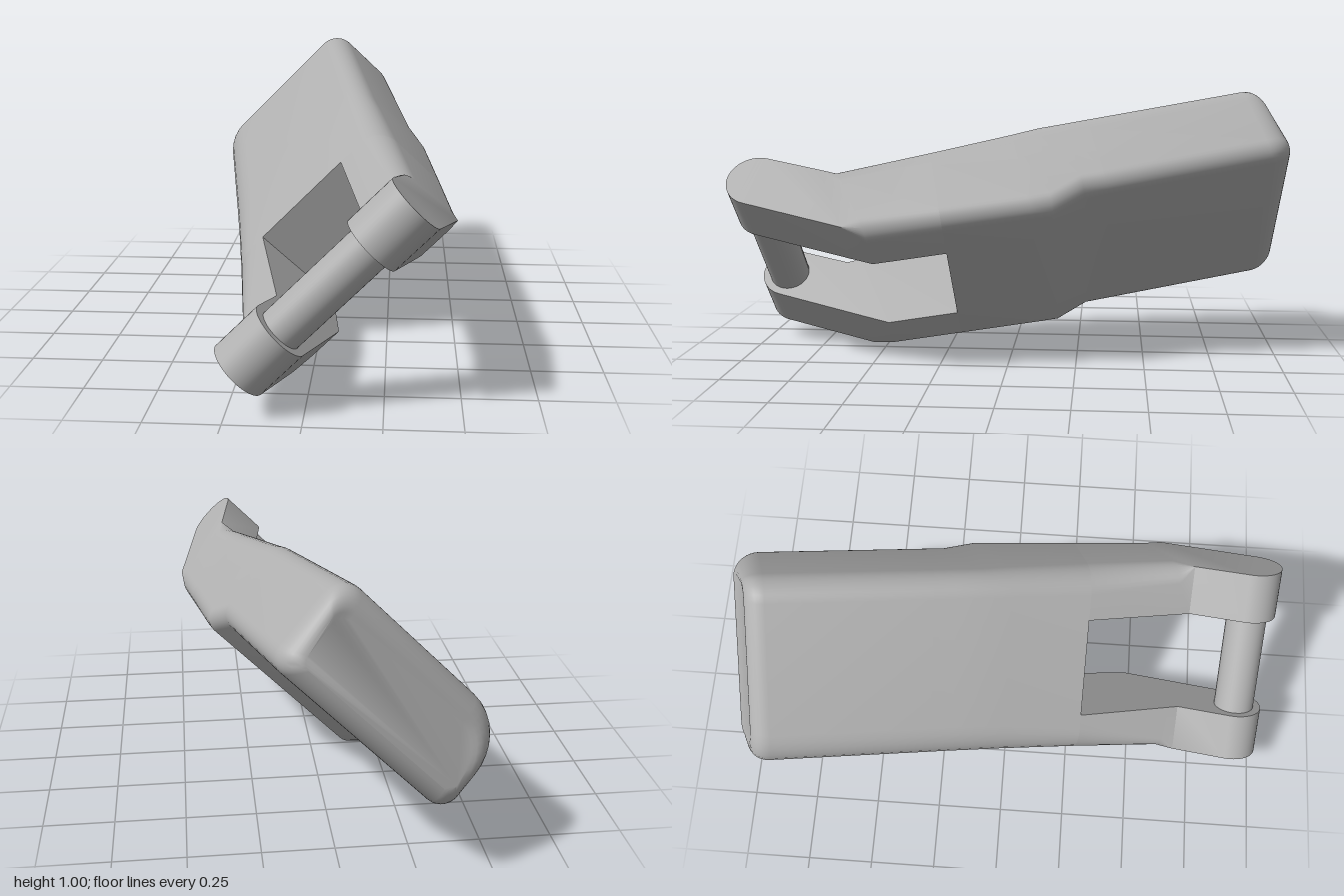
import * as THREE from 'three';
import { toCreasedNormals } from 'three/addons/utils/BufferGeometryUtils.js';

// Local frame: x runs along the pin, y is the thickness, z the length.
const LEFT = -0.048, RIGHT = 0.728, ARM = 0.19, STEPS = 8;

// Station: bottom point [z, y], top point [z, y], corner radii
const station = (bottom, top, low = 0, topLeft = 0, topRight = 0, inset = 0) =>
  ({ bottom, top, low, topLeft, topRight, inset });

// Rounded rectangle ring, counter-clockwise, on the tilted plane of a station
function ring(s, x0, x1, squareLeft, squareRight) {
  const [zb, yb] = s.bottom, [zt, yt] = s.top;
  x0 += s.inset;
  x1 -= s.inset;
  const corners = [
    [x0, yb, 1, 1, squareLeft ? 0 : s.low],
    [x1, yb, -1, 1, squareRight ? 0 : s.low],
    [x1, yt, -1, -1, squareRight ? 0 : s.topRight],
    [x0, yt, 1, -1, squareLeft ? 0 : s.topLeft],
  ];
  const points = [];
  corners.forEach(([x, y, sx, sy, r], c) => {
    for (let i = 0; i <= STEPS; i++) {
      const a = Math.PI + (c + i / STEPS) * Math.PI / 2;
      const px = x + r * (sx + Math.cos(a)), py = y + r * (sy + Math.sin(a));
      const f = yt - yb > 1e-6 ? (py - yb) / (yt - yb) : 0;
      points.push([px, py, zb + (zt - zb) * f]);
    }
  });
  return points;
}

// Skin over rings ordered from front to back
function loft(rings, frontCap, backCap) {
  const pos = [];
  const tri = (a, b, c) => pos.push(...a, ...b, ...c);
  const n = rings[0].length;
  for (let k = 0; k < rings.length - 1; k++) {
    const a = rings[k], b = rings[k + 1];
    for (let i = 0; i < n; i++) {
      const j = (i + 1) % n;
      tri(a[i], b[i], a[j]);
      tri(a[j], b[i], b[j]);
    }
  }
  const cap = (r, flip) => {
    for (let i = 1; i < n - 1; i++) flip ? tri(r[0], r[i + 1], r[i]) : tri(r[0], r[i], r[i + 1]);
  };
  if (frontCap) cap(rings[0], false);
  if (backCap) cap(rings[rings.length - 1], true);
  const g = new THREE.BufferGeometry();
  g.setAttribute('position', new THREE.Float32BufferAttribute(pos, 3));
  return toCreasedNormals(g, 0.55);
}

export function createModel() {
  const grey = new THREE.MeshStandardMaterial({ color: 0xb0b0b0 });
  const tilted = new THREE.Group();
  tilted.name = 'tiltedLever';
  tilted.rotation.z = Math.PI / 4;
  const add = (geometry, name) => {
    const mesh = new THREE.Mesh(geometry, grey);
    mesh.name = name;
    tilted.add(mesh);
    return mesh;
  };

  // Body, from the slot wall to the rounded back end
  const slotWall = station([0.21, 0.071], [0.29, 0.425], 0.06, 0.13, 0.09);
  const body = [
    slotWall,
    station([-0.1, 0.13], [0, 0.512], 0.06, 0.165, 0.085),
    station([-0.17, 0.145], [-0.1, 0.542], 0.06, 0.175, 0.08),
    station([-0.28, 0.225], [-0.19, 0.564], 0.06, 0.175, 0.08),
    station([-0.36, 0.245], [-0.27, 0.584], 0.06, 0.175, 0.08),
  ];
  for (let i = 0; i <= 8; i++) {
    const t = i / 8 * Math.PI / 2, s = Math.sin(t), c = 1 - Math.cos(t);
    body.push(station(
      [-0.94 - 0.075 * s, 0.39 + 0.02 * s + 0.06 * c],
      [-0.84 - 0.09 * s, 0.724 + 0.022 * s - 0.1 * c],
      0.06 - 0.03 * c, 0.175 - 0.06 * c, 0.08 - 0.04 * c, 0.06 * c));
  }
  add(loft(body.map(s => ring(s, LEFT, RIGHT)), true, true), 'body');

  // Two arms with half-round noses
  const centre = [0.895, 0.245], radius = 0.105, along = [0.966, 0.258];
  const arm = [];
  for (let i = 0; i <= 12; i++) {
    const a = (1 - i / 12) * Math.PI / 2, s = Math.sin(a) * radius, c = Math.cos(a) * radius;
    const point = side => [
      centre[0] + along[0] * s - side * along[1] * c,
      centre[1] + along[1] * s + side * along[0] * c,
    ];
    arm.push(station(point(-1), point(1)));
  }
  arm.push(
    station([0.56, 0.045], [0.67, 0.297]),
    station([0.47, 0.021], [0.62, 0.314], 0.06, 0.06, 0.065),
    slotWall);
  add(loft(arm.map(s => ring(s, LEFT, LEFT + ARM, false, true)), false, false), 'rightArm');
  add(loft(arm.map(s => ring(s, RIGHT - ARM, RIGHT, true, false)), false, false), 'leftArm');

  // Pin between the arms
  const pin = add(new THREE.CylinderGeometry(0.076, 0.076, RIGHT - LEFT - 2 * ARM + 0.04, 48), 'pin');
  pin.rotation.z = Math.PI / 2;
  pin.position.set((LEFT + RIGHT) / 2, centre[1], centre[0]);

  const model = new THREE.Group();
  model.name = 'clevisLever';
  model.add(tilted);
  return model;
}
